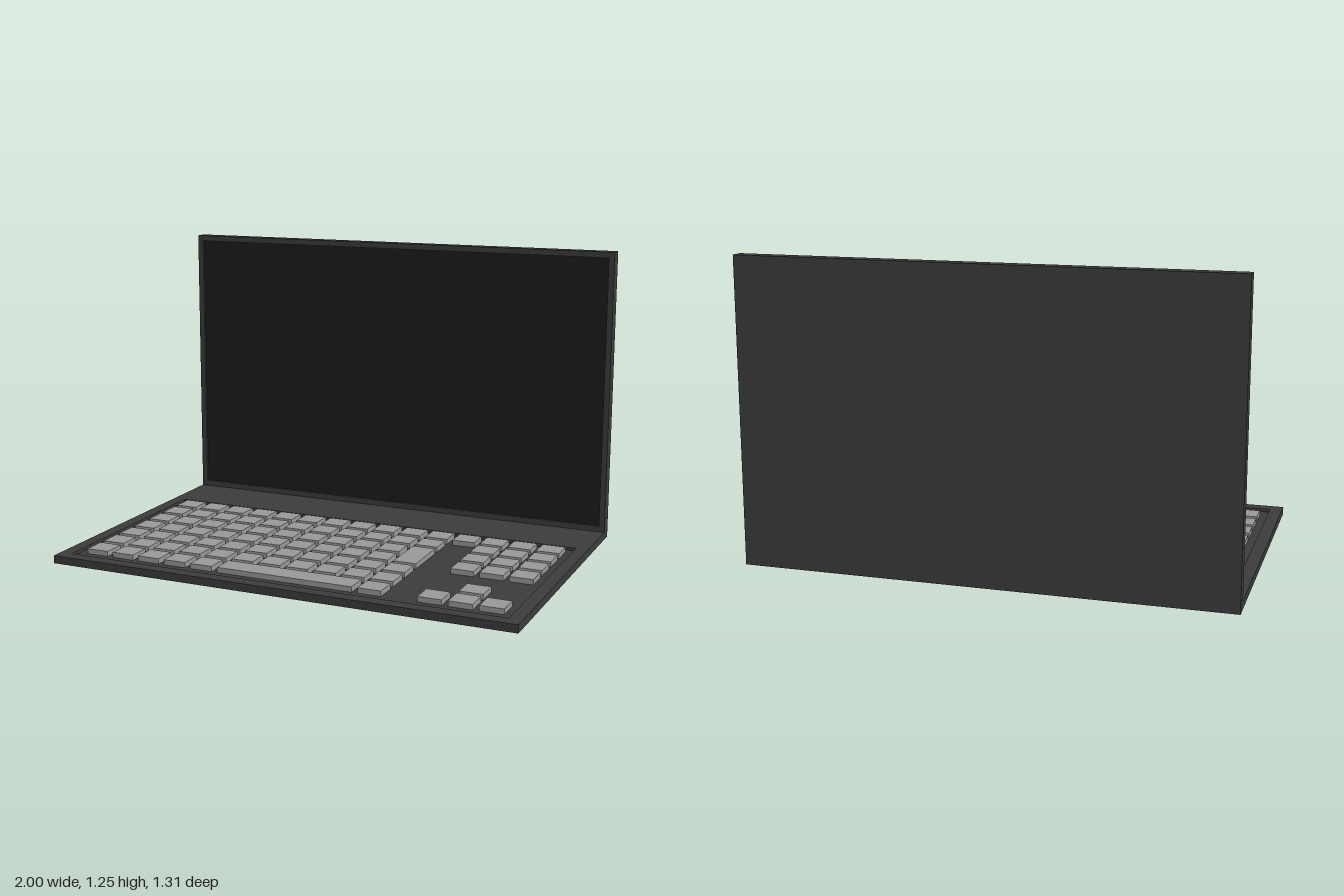
import * as THREE from 'three';

const mat = (color) => new THREE.MeshStandardMaterial({ color });
const bodyMat = mat(0x3c3c3c), screenMat = mat(0x1c1c1c), keyMat = mat(0x999999);

const BASE_TOP = 0.033, DEPTH = 0.656, HEIGHT = 1.255, LID_FRONT = -0.6;

function box(name, material, x0, x1, y0, y1, z0, z1) {
  const mesh = new THREE.Mesh(new THREE.BoxGeometry(x1 - x0, y1 - y0, z1 - z0), material);
  mesh.position.set((x0 + x1) / 2, (y0 + y1) / 2, (z0 + z1) / 2);
  mesh.name = name;
  return mesh;
}

function rectangle(path, x0, x1, y0, y1) {
  path.moveTo(x0, y0);
  path.lineTo(x1, y0);
  path.lineTo(x1, y1);
  path.lineTo(x0, y1);
  path.closePath();
  return path;
}

// Rectangular frame in the xy plane, extruded along +z
function frame(name, outer, inner, depth) {
  const shape = rectangle(new THREE.Shape(), ...outer);
  shape.holes.push(rectangle(new THREE.Path(), ...inner));
  const geometry = new THREE.ExtrudeGeometry(shape, { depth, bevelEnabled: false });
  const mesh = new THREE.Mesh(geometry, bodyMat);
  mesh.name = name;
  return mesh;
}

function createBase() {
  const base = new THREE.Group();
  base.name = 'base';
  // Bottom plate, whose top is the floor of the keyboard tray
  const floor = 0.02;
  base.add(box('bottomPlate', bodyMat, -1, 1, 0, floor, -DEPTH, DEPTH));
  // Deck around the sunken tray; shape y becomes -z
  const deck = frame('deck', [-1, 1, -DEPTH, DEPTH], [-0.947, 0.947, -0.602, 0.327], BASE_TOP - floor);
  deck.rotation.x = -Math.PI / 2;
  deck.position.y = floor;
  base.add(deck);
  return base;
}

function createKeyboard() {
  const keyboard = new THREE.Group();
  keyboard.name = 'keyboard';
  const pitch = 0.123, half = 0.049;
  const colX = (c) => (c - 7) * pitch;
  const rowZ = (r) => -0.246 + r * pitch;
  const addKey = (name, c0, c1, r0, r1) => keyboard.add(box(name, keyMat,
    colX(c0) - half, colX(c1) + half, 0.019, 0.042, rowZ(r0) - half, rowZ(r1) + half));

  // One mark per single key: x = key, . = empty or covered by a large key
  const layout = [
    'xxxxxxxxxxxxxxx',
    'xxxxxxxxxxx.xxx',
    'xxxxxxxxxx..xxx',
    'xxxxxxxxxx..xxx',
    'xxxxxxxxxxx....',
    'xxxxxxxxxxx..x.',
    'xxxxx.....x.xxx',
  ];
  layout.forEach((row, r) => [...row].forEach((mark, c) => {
    if (mark === 'x') addKey('key', c, c, r, r);
  }));
  addKey('enterKey', 10, 10, 2, 3);
  addKey('spaceBar', 5, 9, 6, 6);
  return keyboard;
}

function createLid() {
  const lid = new THREE.Group();
  lid.name = 'lid';
  const recess = 0.01, bezel = 0.025, screenZ = LID_FRONT - recess;
  lid.add(box('lidBack', bodyMat, -1, 1, BASE_TOP, HEIGHT, -DEPTH, screenZ - 0.004));
  // Bezel standing slightly proud of the screen
  const rim = frame('bezel', [-1, 1, BASE_TOP, HEIGHT],
    [-1 + bezel, 1 - bezel, BASE_TOP + bezel, HEIGHT - bezel], recess + 0.004);
  rim.position.z = screenZ - 0.004;
  lid.add(rim);
  lid.add(box('screen', screenMat, -1 + bezel, 1 - bezel,
    BASE_TOP + bezel, HEIGHT - bezel, screenZ - 0.004, screenZ));
  return lid;
}

export function createModel() {
  const model = new THREE.Group();
  model.name = 'laptop';
  model.add(createBase(), createKeyboard(), createLid());
  return model;
}
